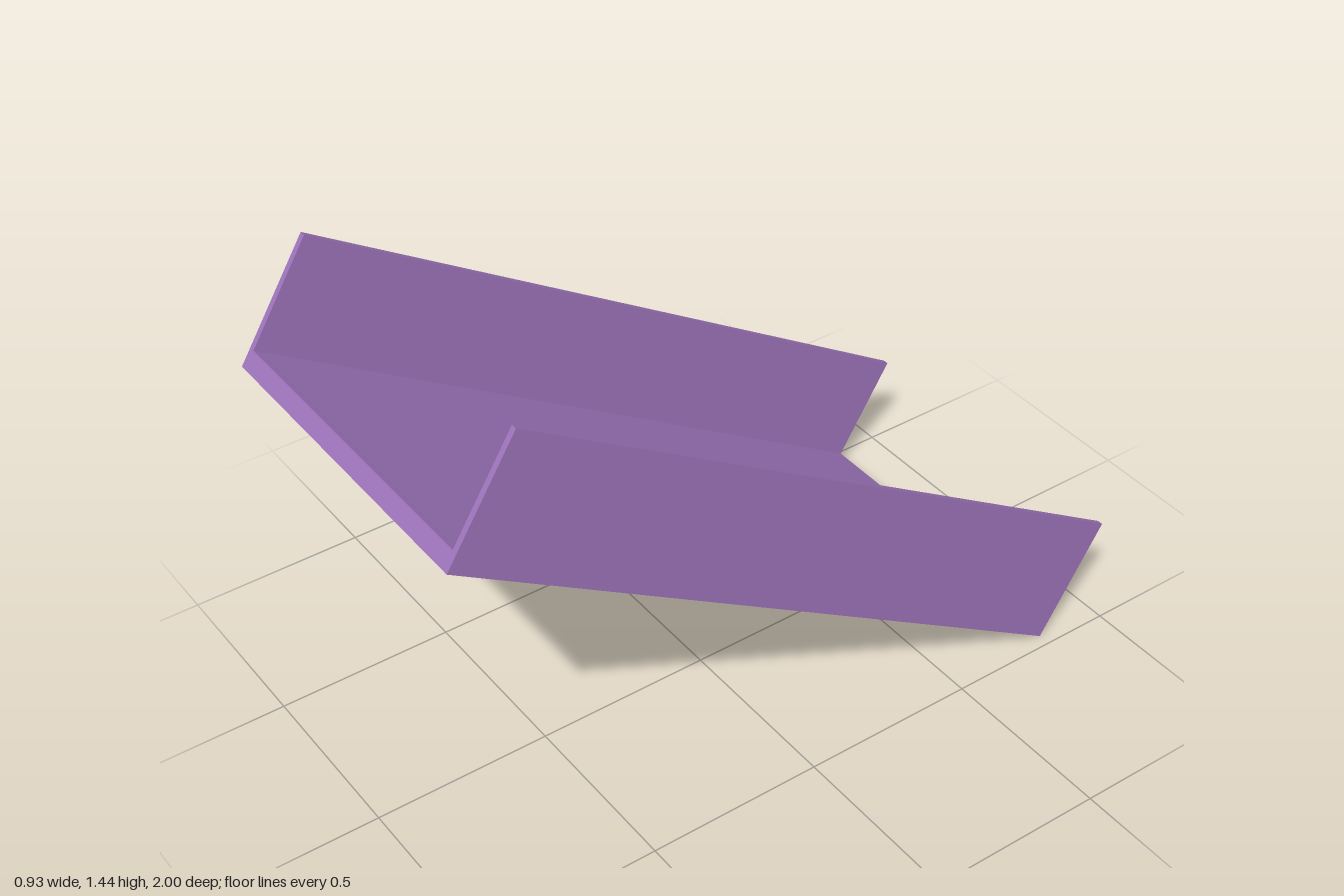
import * as THREE from 'three';

// Inclined U-shaped channel, open at both ends
export function createModel() {
  const group = new THREE.Group();
  group.name = 'chute';
  const purple = new THREE.MeshStandardMaterial({ color: 0xa076be });
  purple.name = 'purple';

  const halfWidth = 0.465, wall = 0.016, floor = 0.052;
  const rise = 1.13, run = 1.81;
  const length = Math.hypot(rise, run), height = 0.36;
  const h = height / 2, inner = halfWidth - wall;

  // U cross-section
  const section = new THREE.Shape([
    [-halfWidth, -h], [halfWidth, -h], [halfWidth, h], [inner, h],
    [inner, floor - h], [-inner, floor - h], [-inner, h], [-halfWidth, h],
  ].map(([x, y]) => new THREE.Vector2(x, y)));

  const geometry = new THREE.ExtrudeGeometry(section, { depth: length, bevelEnabled: false });
  geometry.translate(0, 0, -length / 2);

  // Tilt so the front end is raised
  const channel = new THREE.Mesh(geometry, purple);
  channel.name = 'channel';
  channel.rotation.x = -Math.atan2(rise, run);
  channel.position.y = 0.718;
  group.add(channel);
  return group;
}
